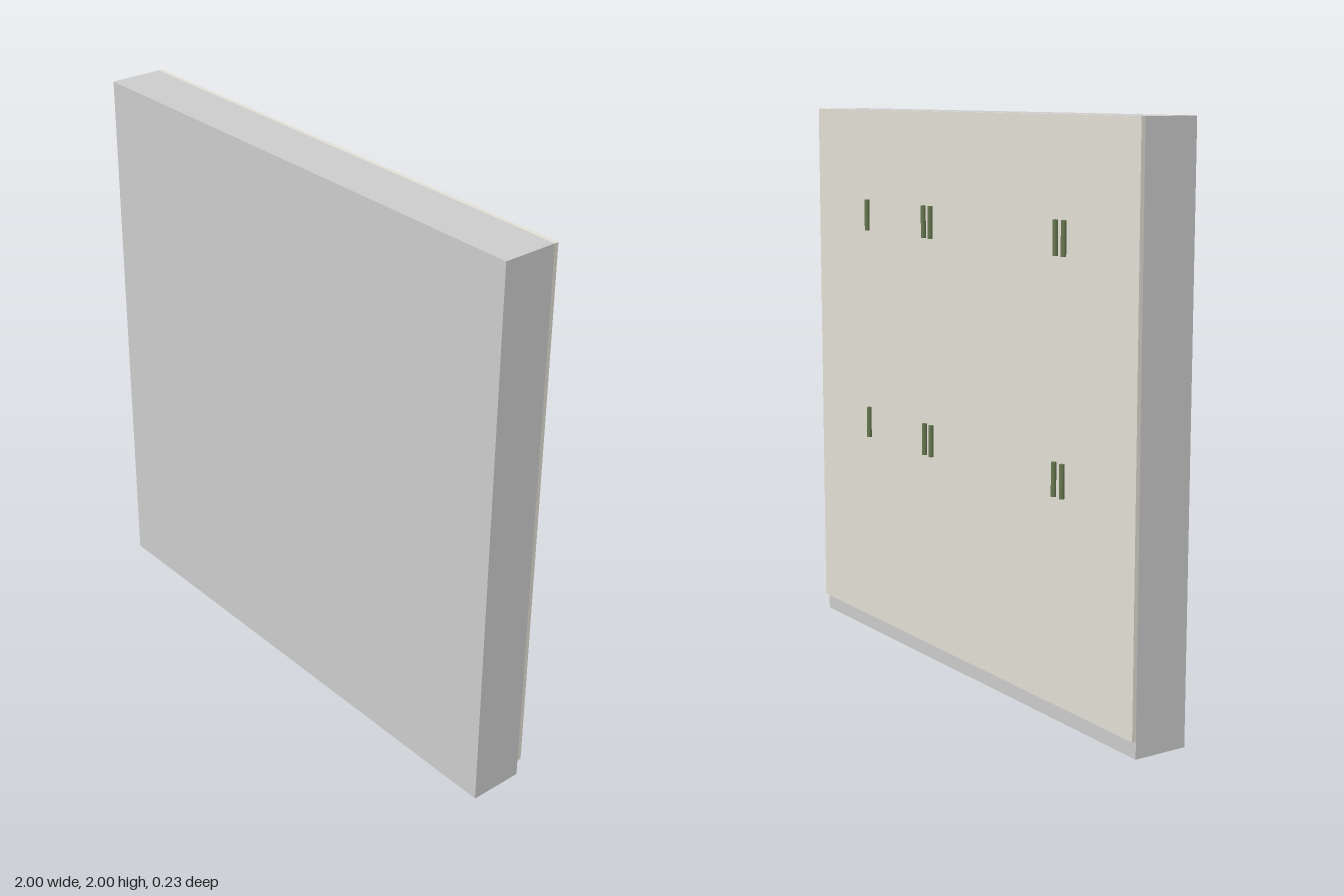
import * as THREE from 'three';

const material = (color) => new THREE.MeshStandardMaterial({ color });

function addBox(group, name, mat, width, [y0, y1], [z0, z1]) {
  const mesh = new THREE.Mesh(new THREE.BoxGeometry(width, y1 - y0, z1 - z0), mat);
  mesh.name = name;
  mesh.position.set(0, (y0 + y1) / 2, (z0 + z1) / 2);
  group.add(mesh);
}

export function createModel() {
  const model = new THREE.Group();
  model.name = 'wallPanel';

  // Thick slab, with a thin facing on the back that stops short of the floor
  addBox(model, 'slab', material(0xcccccc), 2, [0, 2], [-0.083, 0.115]);
  addBox(model, 'backFacing', material(0xe2dfd5), 2, [0.06, 2], [-0.098, -0.083]);

  // Two rows of small upright pins on the facing
  const pins = new THREE.Group();
  pins.name = 'pins';
  const pinGeometry = new THREE.CylinderGeometry(0.009, 0.009, 0.115, 16);
  const pinMaterial = material(0x66774f);
  for (const y of [0.828, 1.613]) {
    for (const x of [-0.625, -0.58, 0.175, 0.22, 0.62]) {
      const pin = new THREE.Mesh(pinGeometry, pinMaterial);
      pin.name = 'pin';
      pin.position.set(x, y, -0.106);
      pins.add(pin);
    }
  }
  model.add(pins);
  return model;
}
